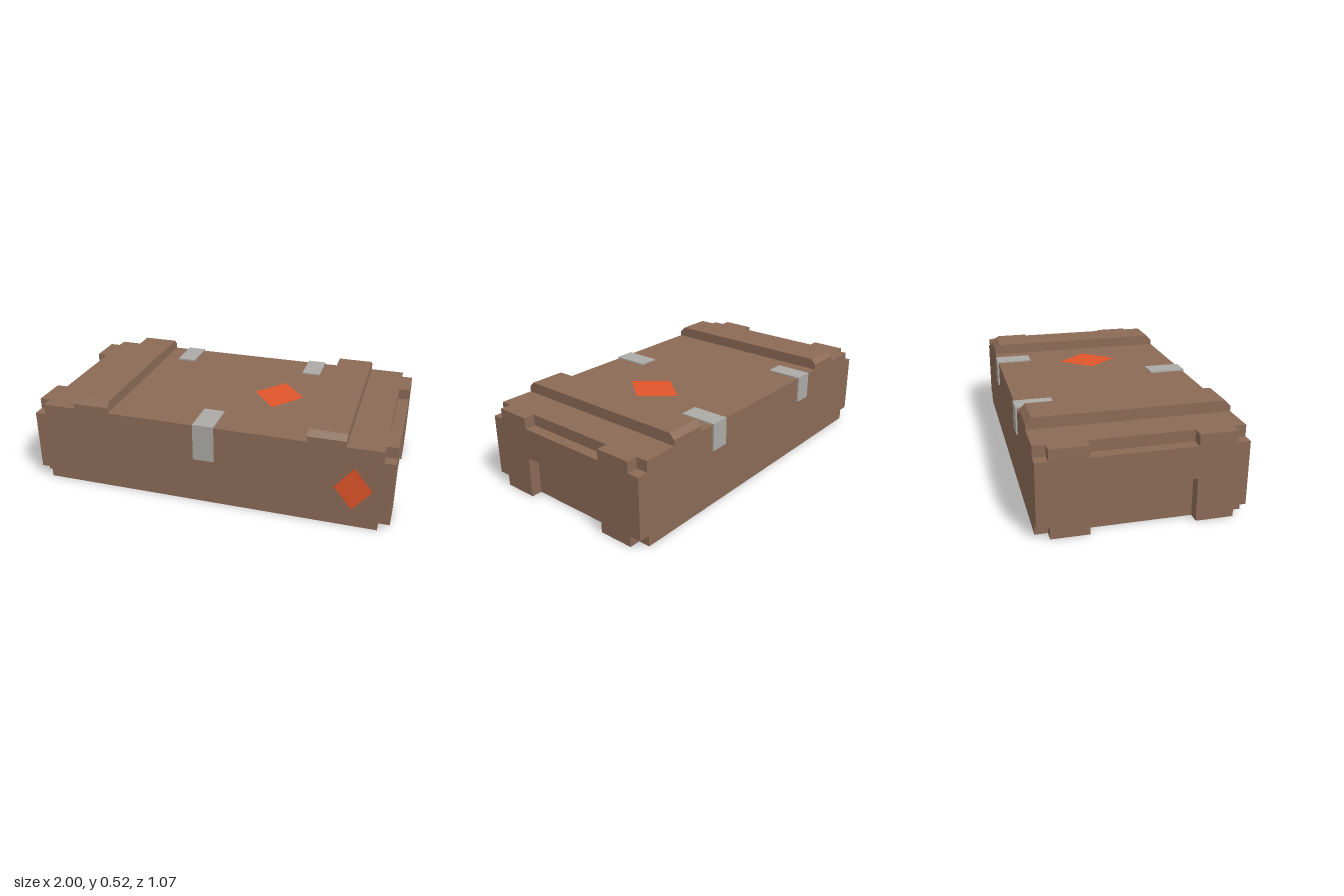
import * as THREE from 'three';

const W = 1, H = 0.46, D = 0.525;   // half width, height, half depth
const END = 0.06;                   // thickness of the notched end boards

const mat = (name, color) => {
  const m = new THREE.MeshStandardMaterial({ color });
  m.name = name;
  return m;
};

// Extrudes a (z, y) outline along x, centred on x = 0
function extrudeX(points, length) {
  const shape = new THREE.Shape(points.map(([z, y]) => new THREE.Vector2(z, y)));
  return new THREE.ExtrudeGeometry(shape, { depth: length, bevelEnabled: false })
    .translate(0, 0, -length / 2)
    .rotateY(-Math.PI / 2);
}

export function createModel() {
  const model = new THREE.Group();
  model.name = 'crate';
  const wood = mat('brown wood', 0x8b6a56);
  const metal = mat('grey metal', 0xabaaa6);
  const paint = mat('orange paint', 0xe0552b);

  const add = (name, geometry, material, x = 0, y = 0, z = 0) => {
    const mesh = new THREE.Mesh(geometry, material);
    mesh.name = name;
    mesh.position.set(x, y, z);
    model.add(mesh);
  };

  // Main body between the end boards
  add('body', new THREE.BoxGeometry(2 * (W - END), H, 2 * D), wood, 0, H / 2, 0);

  // End boards: cut corners, a shallow top notch and a tall bottom hand hold
  const half = [
    [0.265, 0.23], [0.265, 0], [0.46, 0], [0.46, 0.06], [D, 0.06],
    [D, 0.4], [0.46, 0.4], [0.46, H], [0.265, H], [0.265, 0.4],
  ];
  const mirrored = half.map(([z, y]) => [-z, y]).reverse();
  const endGeometry = extrudeX([...half, ...mirrored], END);

  // Lid battens with chamfered ends
  const battenGeometry = extrudeX([
    [-D, H], [D, H], [D, 0.49], [0.495, 0.52], [-0.495, 0.52], [-D, 0.49],
  ], 0.2);

  for (const [side, s] of [['left', 1], ['right', -1]]) {
    add(side + 'EndBoard', endGeometry, wood, s * (W - END / 2));
    add(side + 'Batten', battenGeometry, wood, s * 0.65);
  }

  // Folded metal straps: a flat leaf on the lid and one down the wall (face is 1 front, -1 back)
  const T = 0.008;
  function strap(name, x, face, width, bottom) {
    const points = [
      [face * 0.328, H], [face * D, H], [face * D, bottom],
      [face * (D + T), bottom], [face * (D + T), H + T], [face * 0.328, H + T],
    ];
    add(name, extrudeX(points, width), metal, x);
  }
  strap('frontLatch', -0.003, 1, 0.115, 0.26);
  strap('leftHinge', 0.403, -1, 0.105, 0.317);
  strap('rightHinge', -0.407, -1, 0.105, 0.317);

  // Painted diamond markings
  const diamond = (w, h) => new THREE.CircleGeometry(1, 4).scale(w, h, 1);
  add('frontDiamond', diamond(0.1, 0.122), paint, 0.8, 0.225, D + 0.003);
  add('lidDiamond', diamond(0.14, 0.172).rotateX(-Math.PI / 2), paint, 0.287, H + 0.003, 0.02);

  return model;
}
